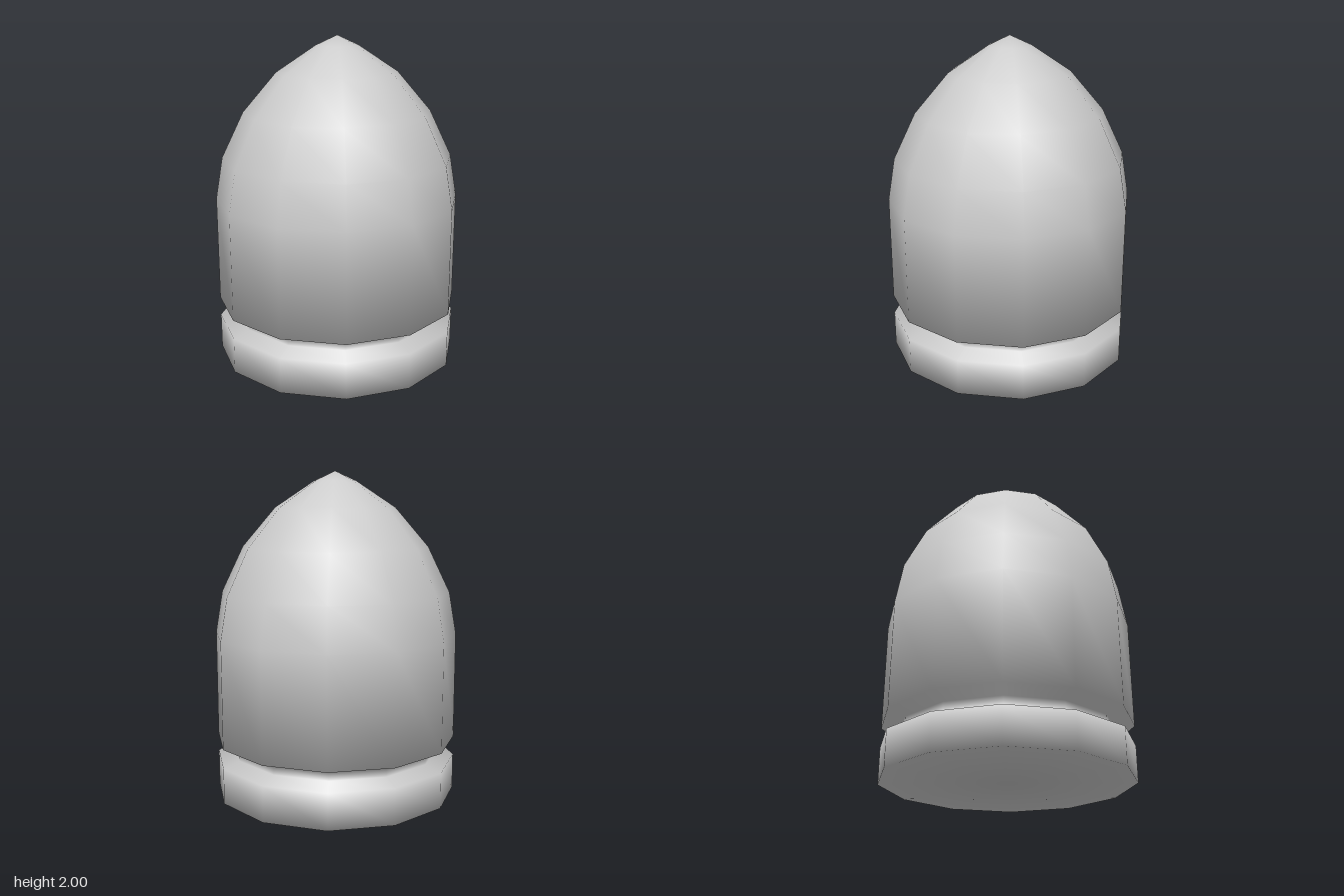
import * as THREE from 'three';

const SIDES = 12;

// Lathe whose normals blend evenly across every ring, poles pointing straight along y
function smoothLathe(profile, sides) {
  const points = profile.map(([r, y]) => new THREE.Vector2(r, y));
  const faceNormals = points.slice(1).map((p, i) =>
    new THREE.Vector2(p.y - points[i].y, points[i].x - p.x).normalize());
  const last = points.length - 1;
  const ringNormals = points.map((p, j) => {
    if (j === 0) return new THREE.Vector2(0, -1);
    if (j === last) return new THREE.Vector2(0, 1);
    return faceNormals[j - 1].clone().add(faceNormals[j]).normalize();
  });

  const geometry = new THREE.LatheGeometry(points, sides);
  const normal = geometry.attributes.normal;
  for (let i = 0; i <= sides; i++) {
    const a = (i / sides) * Math.PI * 2;
    ringNormals.forEach((n, j) =>
      normal.setXYZ(i * points.length + j, n.x * Math.sin(a), n.y, n.x * Math.cos(a)));
  }
  return geometry;
}

export function createModel() {
  const group = new THREE.Group();
  group.name = 'bullet';

  const profile = [
    // closed underside and base rim
    [0, 0], [0.755, 0], [0.755, 0.22],
    // groove
    [0.65, 0.255], [0.65, 0.305], [0.755, 0.34],
    // straight body, then pointed nose
    [0.755, 1.0], [0.71, 1.26], [0.575, 1.54], [0.37, 1.78], [0.13, 1.94], [0, 2],
  ];

  const shell = new THREE.Mesh(
    smoothLathe(profile, SIDES),
    new THREE.MeshStandardMaterial({ color: 0xcccccc }),
  );
  shell.name = 'groovedBody';
  group.add(shell);
  return group;
}
